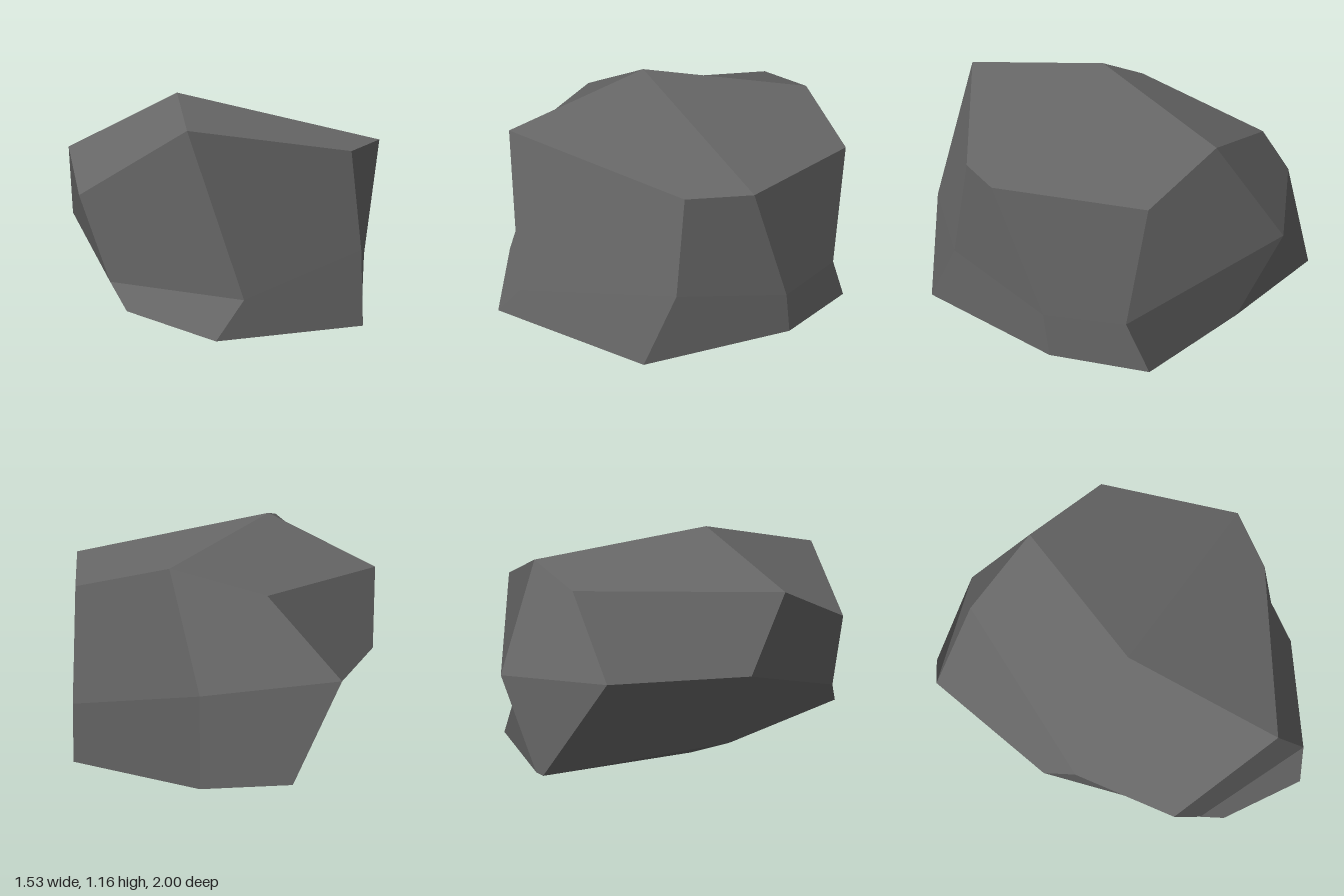
import * as THREE from 'three';

// Rock corners on a 3 x 3 x 3 lattice: layers bottom to top, rows back to front, points -x to +x
const LATTICE = [
  [ // underside
    [[-0.49, 0.18, -1.0], [-0.05, 0.04, -0.79], [0.59, 0.06, -0.62]],
    [[-0.44, 0.13, 0.06], [-0.12, 0, 0.07], [0.735, 0.09, -0.17]],
    [[-0.44, 0.24, 0.76], [-0.05, 0.17, 1.0], [0.63, 0.12, 0.58]],
  ],
  [ // waist, hollow in the middle
    [[-0.67, 0.58, -0.79], [-0.09, 0.54, -0.98], [0.62, 0.31, -0.51]],
    [[-0.77, 0.54, -0.09], null, [0.735, 0.31, -0.14]],
    [[-0.52, 0.35, 0.66], [0.07, 0.33, 0.93], [0.64, 0.44, 0.41]],
  ],
  [ // crown
    [[-0.34, 0.93, -0.75], [0.1, 1.02, -0.69], [0.565, 0.9, -0.58]],
    [[-0.76, 0.9, 0.11], [-0.23, 1.16, 0.07], [0.765, 0.93, 0.09]],
    [[-0.66, 0.73, 0.58], [-0.17, 1.04, 0.82], [0.595, 0.9, 0.34]],
  ],
];

// Six sides of the lattice: first corner, step down, step across
const SIDES = [
  [[0, 2, 2], [0, -1, 0], [1, 0, 0]], // front
  [[2, 2, 0], [0, -1, 0], [-1, 0, 0]], // back
  [[2, 2, 2], [0, -1, 0], [0, 0, -1]], // +x side
  [[0, 2, 0], [0, -1, 0], [0, 0, 1]], // -x side
  [[0, 2, 2], [1, 0, 0], [0, 0, -1]], // top
  [[0, 0, 0], [1, 0, 0], [0, 0, 1]], // underside
];

function createRockGeometry() {
  const positions = [], normals = [], indices = [];
  for (const [start, down, across] of SIDES) {
    const corner = (i, j) => {
      const [x, y, z] = start.map((s, k) => s + i * down[k] + j * across[k]);
      return new THREE.Vector3(...LATTICE[y][z][x]);
    };
    for (let i = 0; i < 2; i++) {
      for (let j = 0; j < 2; j++) {
        // One four-sided facet with a single normal
        const quad = [corner(i, j), corner(i + 1, j), corner(i + 1, j + 1), corner(i, j + 1)];
        const [a, b, c, d] = quad;
        const normal = c.clone().sub(a).cross(d.clone().sub(b)).normalize();
        const n = positions.length / 3;
        for (const p of quad) {
          positions.push(...p);
          normals.push(...normal);
        }
        indices.push(n, n + 1, n + 2, n, n + 2, n + 3);
      }
    }
  }
  const geometry = new THREE.BufferGeometry();
  geometry.setAttribute('position', new THREE.Float32BufferAttribute(positions, 3));
  geometry.setAttribute('normal', new THREE.Float32BufferAttribute(normals, 3));
  geometry.setIndex(indices);
  return geometry;
}

export function createModel() {
  const stone = new THREE.MeshStandardMaterial({ color: 0x666666 });
  stone.name = 'darkStone';

  const rock = new THREE.Mesh(createRockGeometry(), stone);
  rock.name = 'rock';
  const model = new THREE.Group();
  model.name = 'boulder';
  model.add(rock);
  return model;
}
